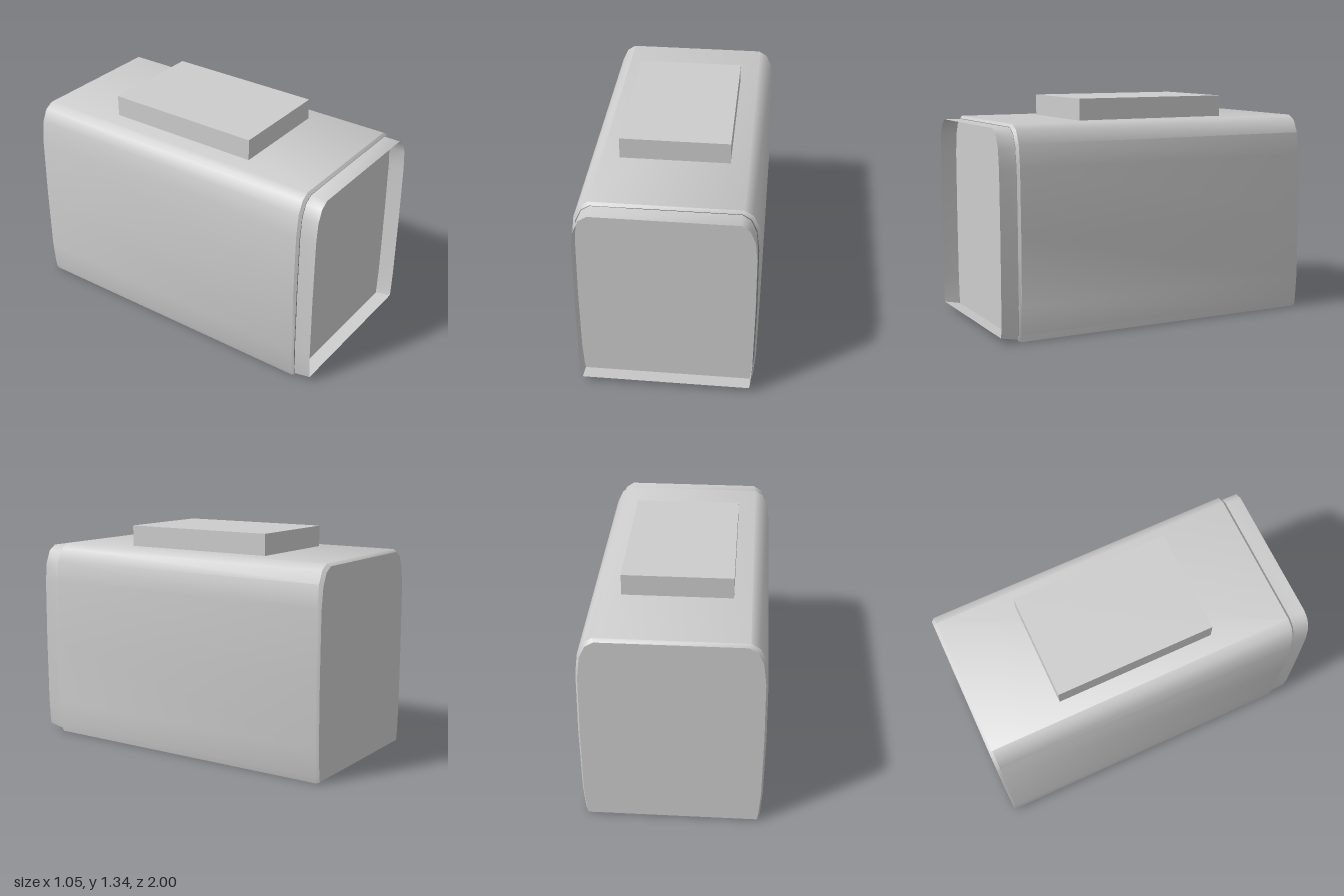
import * as THREE from 'three';
import { toCreasedNormals } from 'three/addons/utils/BufferGeometryUtils.js';

// right half of the arched cross-sections, from bottom to top
const BODY = [[0.497, 0], [0.508, 0.04], [0.52, 0.2], [0.525, 0.6], [0.52, 0.98], [0.505, 1.11], [0.47, 1.185], [0.42, 1.215]];
const RIM = [[0.492, 0.01], [0.499, 0.05], [0.51, 0.2], [0.513, 0.6], [0.508, 0.97], [0.492, 1.1], [0.46, 1.17], [0.412, 1.2]];
const LIP = [[0.49, 0.015], [0.495, 0.06], [0.503, 0.2], [0.506, 0.6], [0.502, 0.97], [0.49, 1.09], [0.458, 1.165], [0.41, 1.197]];

// mirror a half profile into a closed counter-clockwise loop
const mirror = (half) => [...half, ...half.slice().reverse().map(([x, y]) => [-x, y])];

// skin a row of cross-sections, given from back to front
function loft(sections) {
  const pos = [], index = [];
  const n = sections[0].half.length * 2;
  sections.forEach(({ half, z }) => mirror(half).forEach(([x, y]) => pos.push(x, y, z)));
  for (let s = 0; s < sections.length - 1; s++) {
    for (let i = 0; i < n; i++) {
      const a = s * n + i, b = s * n + (i + 1) % n;
      index.push(a, b, b + n, a, b + n, a + n);
    }
  }
  const geo = new THREE.BufferGeometry();
  geo.setAttribute('position', new THREE.Float32BufferAttribute(pos, 3));
  geo.setIndex(index);
  return toCreasedNormals(geo, 0.65);
}

const cap = (half) => new THREE.ShapeGeometry(
  new THREE.Shape(mirror(half).map(([x, y]) => new THREE.Vector2(x, y))));

export function createModel() {
  const group = new THREE.Group();
  const grey = new THREE.MeshStandardMaterial({ color: 0xcccccc });
  grey.name = 'light grey';
  const greyOpen = new THREE.MeshStandardMaterial({ color: 0xcccccc, side: THREE.DoubleSide });
  greyOpen.name = 'light grey thin';

  const add = (name, geo, mat = grey) => {
    const mesh = new THREE.Mesh(geo, mat);
    mesh.name = name;
    group.add(mesh);
    return mesh;
  };

  // long arched housing with bevelled ends
  add('housing', loft([
    { half: RIM, z: -1 }, { half: BODY, z: -0.98 },
    { half: BODY, z: 0.885 }, { half: RIM, z: 0.9 },
  ]));
  add('backPanel', cap(RIM).rotateY(Math.PI).translate(0, 0, -1));

  // recessed front panel inside a thin projecting lip, its floor rising slightly
  add('frontPanel', cap(LIP).translate(0, 0, 0.9));
  const lipFront = LIP.map(([x, y]) => [x, Math.max(y, 0.035)]);
  add('frontLip', loft([{ half: LIP, z: 0.9 }, { half: lipFront, z: 1 }]), greyOpen);

  // raised block on the roof
  add('topBlock', new THREE.BoxGeometry(0.634, 0.14, 0.955)).position.set(0, 1.271, -0.047);

  return group;
}
